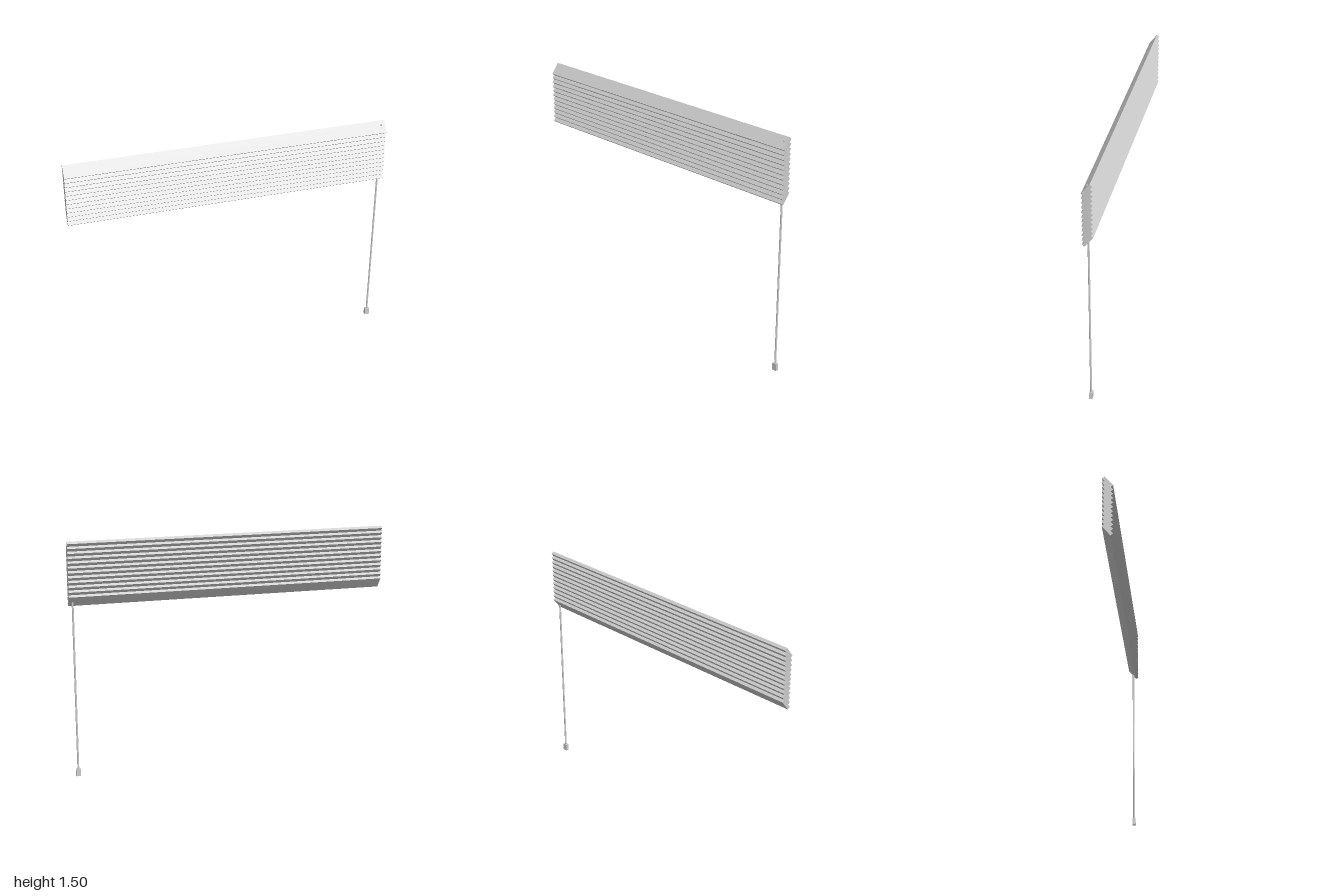
import * as THREE from 'three';

const SLATS = 12;
const TOP_Y = 1.457;      // centre of the highest slat
const BOTTOM_Y = 1.131;   // centre of the lowest slat
const TILT = THREE.MathUtils.degToRad(38);
const ROD_X = 0.975;

export function createModel() {
  const group = new THREE.Group();
  const material = new THREE.MeshStandardMaterial({ color: 0xcccccc, flatShading: true });

  const add = (name, geometry, x, y, z) => {
    const mesh = new THREE.Mesh(geometry, material);
    mesh.name = name;
    mesh.position.set(x, y, z);
    group.add(mesh);
    return mesh;
  };

  // Stack of tilted slats, upper edge leaning to the back
  const slatGeometry = new THREE.BoxGeometry(2, 0.0815, 0.02);
  for (let i = 0; i < SLATS; i++) {
    const y = THREE.MathUtils.lerp(TOP_Y, BOTTOM_Y, i / (SLATS - 1));
    add(`slat${i + 1}`, slatGeometry, 0, y, 0).rotation.x = -TILT;
  }

  // Control rod running through the slats, with a block handle at its end
  const rodBottom = 0.04, rodTop = 1.477;
  add('controlRod', new THREE.CylinderGeometry(0.006, 0.006, rodTop - rodBottom, 8),
    ROD_X, (rodTop + rodBottom) / 2, 0);
  add('rodHandle', new THREE.BoxGeometry(0.03, 0.046, 0.02), ROD_X, 0.023, 0);

  return group;
}
